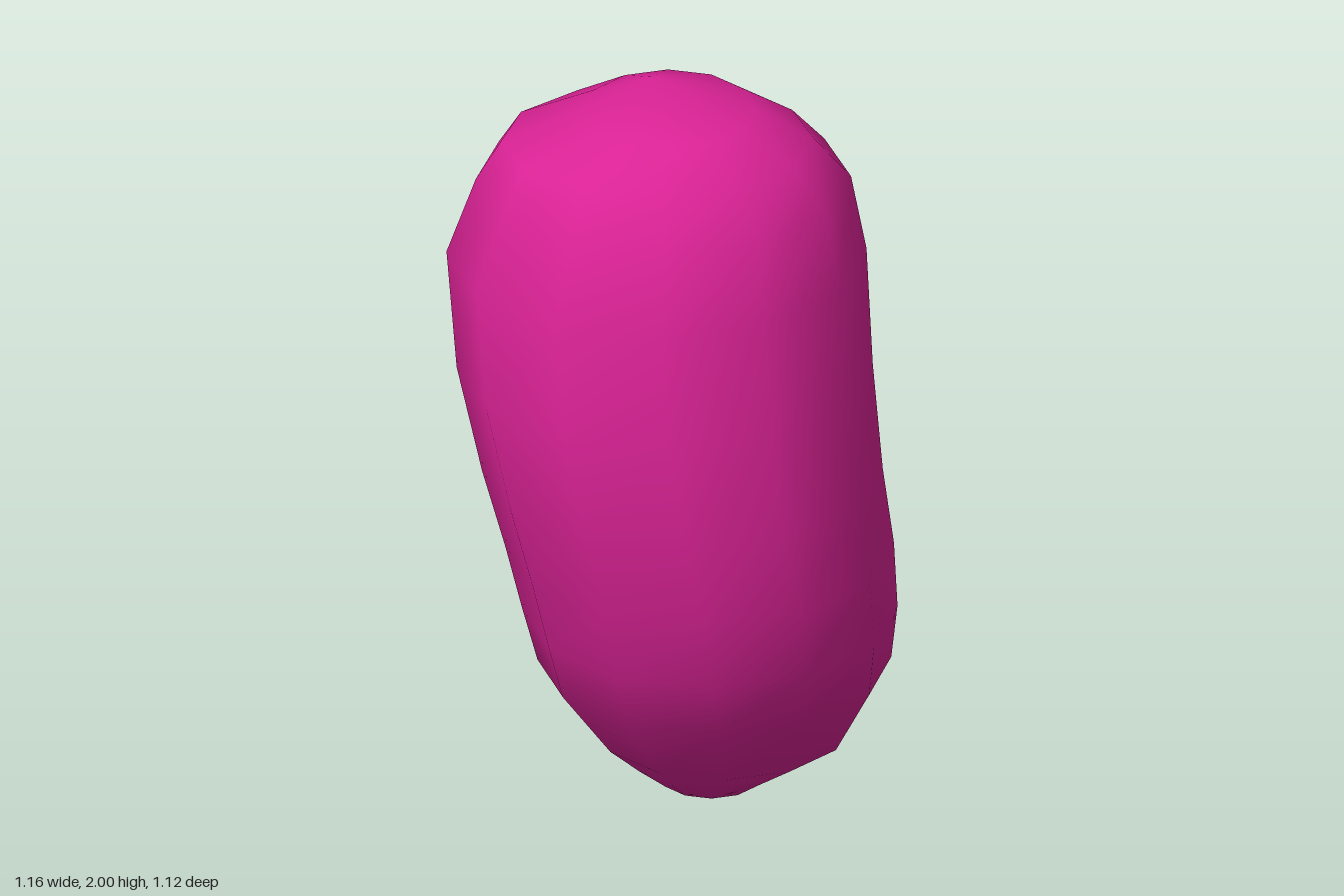
import * as THREE from 'three';

const SIDES = 12;

// Cross-sections from bottom to top: [y, xMin, xMax, zMin, zMax]
const SECTIONS = [
  [0.02, -0.04, 0.23, -0.24, 0.06],
  [0.07, -0.12, 0.33, -0.37, 0.12],
  [0.15, -0.21, 0.46, -0.49, 0.23],
  [0.35, -0.35, 0.56, -0.555, 0.38],
  [0.52, -0.39, 0.575, -0.535, 0.47],
  [0.72, -0.435, 0.565, -0.495, 0.525],
  [0.96, -0.495, 0.535, -0.405, 0.56],
  [1.24, -0.56, 0.51, -0.47, 0.56],
  [1.54, -0.585, 0.495, -0.55, 0.52],
  [1.75, -0.51, 0.455, -0.47, 0.465],
  [1.87, -0.445, 0.36, -0.33, 0.38],
  [1.965, -0.235, 0.21, -0.2, 0.29],
];
const BOTTOM = [0.08, 0, -0.1];
const TOP = [-0.06, 2, -0.08];

// Closed skin through elliptical rings, with one shared vertex at each end
function loft(sections, bottom, top) {
  const points = [...bottom];
  for (const [y, x0, x1, z0, z1] of sections) {
    for (let j = 0; j < SIDES; j++) {
      const a = (j / SIDES) * Math.PI * 2;
      points.push(
        (x0 + x1) / 2 + ((x1 - x0) / 2) * Math.cos(a),
        y,
        (z0 + z1) / 2 + ((z1 - z0) / 2) * Math.sin(a)
      );
    }
  }
  points.push(...top);

  const id = (ring, j) => 1 + ring * SIDES + (j % SIDES);
  const last = sections.length - 1;
  const end = 1 + sections.length * SIDES;
  const faces = [];
  for (let j = 0; j < SIDES; j++) {
    faces.push(0, id(0, j), id(0, j + 1));
    for (let r = 0; r < last; r++) {
      const a = id(r, j), b = id(r, j + 1), c = id(r + 1, j), d = id(r + 1, j + 1);
      faces.push(a, c, b, b, c, d);
    }
    faces.push(id(last, j), end, id(last, j + 1));
  }

  const geometry = new THREE.BufferGeometry();
  geometry.setAttribute('position', new THREE.Float32BufferAttribute(points, 3));
  geometry.setIndex(faces);
  geometry.computeVertexNormals();
  return geometry;
}

export function createModel() {
  const group = new THREE.Group();
  group.name = 'jellyBean';

  // Leaning bean body, pinched at the back
  const body = new THREE.Mesh(
    loft(SECTIONS, BOTTOM, TOP),
    new THREE.MeshStandardMaterial({ color: 0xdb2396 })
  );
  body.name = 'beanBody';
  group.add(body);
  return group;
}
